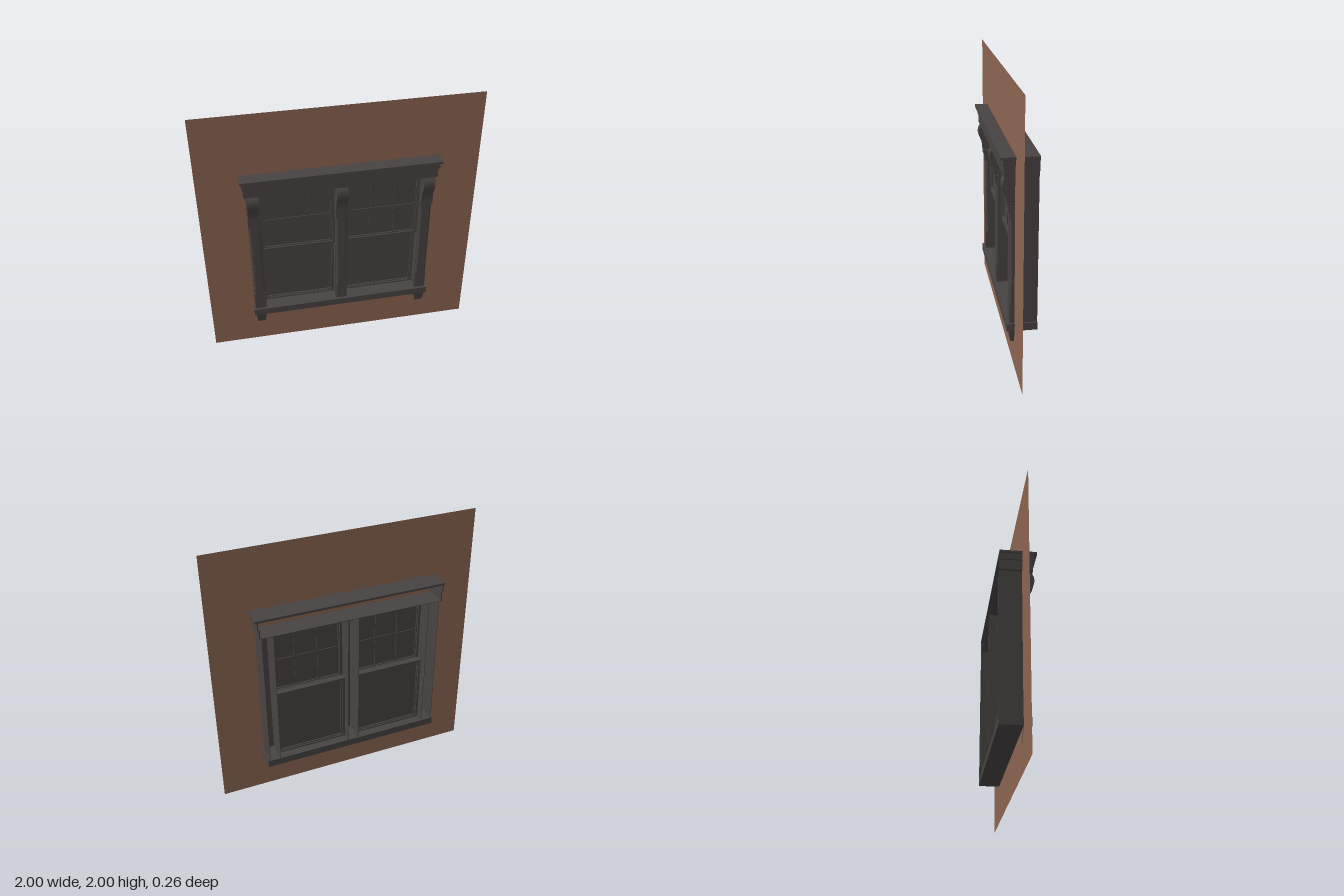
import * as THREE from 'three';

const frameMat = new THREE.MeshStandardMaterial({ color: 0x474342, side: THREE.DoubleSide });
frameMat.name = 'charcoal paint';
const wallMat = new THREE.MeshStandardMaterial({ color: 0x8b6450, side: THREE.DoubleSide });
wallMat.name = 'brown wall';

function add(parent, name, geometry, material = frameMat) {
  const mesh = new THREE.Mesh(geometry, material);
  mesh.name = name;
  parent.add(mesh);
  return mesh;
}

// Box given by its limits on each axis
function box(parent, name, x0, x1, y0, y1, z0, z1) {
  const g = new THREE.BoxGeometry(x1 - x0, y1 - y0, z1 - z0);
  g.translate((x0 + x1) / 2, (y0 + y1) / 2, (z0 + z1) / 2);
  return add(parent, name, g);
}

function group(parent, name, x = 0) {
  const g = new THREE.Group();
  g.name = name;
  g.position.x = x;
  parent.add(g);
  return g;
}

const BACK = -0.127, WALL = 0.03, SILL = 0.345, HEAD = 1.4;

function addWall(root) {
  const s = new THREE.Shape([[-1, 0], [1, 0], [1, 2], [-1, 2]].map(p => new THREE.Vector2(...p)));
  s.holes.push(new THREE.Path([[-0.66, SILL], [-0.66, HEAD], [0.66, HEAD], [0.66, SILL]].map(p => new THREE.Vector2(...p))));
  const g = new THREE.ShapeGeometry(s);
  g.translate(0, 0, WALL);
  add(root, 'wall', g, wallMat);
}

// Hollow cornice: open at the back, with a flat cap
function addCornice(root) {
  const c = group(root, 'cornice');
  const t = 0.004;
  box(c, 'cap', -0.705, 0.705, 1.524, 1.54, BACK, 0.13);
  box(c, 'soffit', -0.68, 0.68, HEAD, HEAD + t, BACK, 0.1);
  for (const [name, x, y0, y1, z] of [['frieze', 0.68, HEAD, 1.475, 0.103], ['crown', 0.69, 1.475, 1.524, 0.112]]) {
    box(c, name + 'Front', -x, x, y0, y1, z - 0.012, z);
    for (const s of [-1, 1]) box(c, name + 'End', s * x - 0.006, s * x + 0.002, y0, y1, BACK, z - 0.002);
  }
}

// Post front cross-section with optional chamfer, extruded upward
function postFront(parent, name, w, y0, y1, c) {
  const s = new THREE.Shape([[-w, -0.03], [w, -0.03], [w, -0.065 + c], [w - c, -0.065], [c - w, -0.065], [-w, -0.065 + c]]
    .map(p => new THREE.Vector2(...p)));
  const g = new THREE.ExtrudeGeometry(s, { depth: y1 - y0, bevelEnabled: false });
  g.rotateX(-Math.PI / 2);
  g.translate(0, y0, 0);
  add(parent, name, g);
}

function addPost(root, x) {
  const p = group(root, 'post', x);
  const w = 0.041;
  // Channel sides running back through the wall
  for (const s of [-1, 1]) box(p, 'postSide', s * w - 0.002, s * w + 0.002, SILL, HEAD, BACK, 0.05);
  postFront(p, 'postBase', w, SILL, 0.49, 0.0005);
  postFront(p, 'postShaft', w, 0.49, 1.11, 0.012);
  postFront(p, 'postNeck', w, 1.11, 1.155, 0.0005);
  box(p, 'postBand', -0.045, 0.045, 1.155, 1.198, WALL, 0.075);
  // Scrolled bracket, drawn from the side
  const s = new THREE.Shape();
  s.moveTo(0.03, 1.198);
  s.lineTo(0.08, 1.198);
  s.bezierCurveTo(0.08, 1.28, 0.114, 1.29, 0.114, 1.335);
  s.bezierCurveTo(0.114, 1.37, 0.1, 1.385, 0.088, HEAD);
  s.lineTo(0.03, HEAD);
  const g = new THREE.ExtrudeGeometry(s, { depth: 2 * w, bevelEnabled: false, curveSegments: 10 });
  g.rotateY(-Math.PI / 2);
  g.translate(w, 0, 0);
  add(p, 'bracket', g);
}

// Rectangular frame with a hole
function ring(parent, name, w, y0, y1, rail, z0, z1) {
  const rect = (a, b, c) => [[-a, b], [a, b], [a, c], [-a, c]].map(p => new THREE.Vector2(...p));
  const s = new THREE.Shape(rect(w, y0, y1));
  s.holes.push(new THREE.Path(rect(w - rail, y0 + rail, y1 - rail).reverse()));
  const g = new THREE.ExtrudeGeometry(s, { depth: z1 - z0, bevelEnabled: false });
  g.translate(0, 0, z0);
  add(parent, name, g);
}

function addSash(root, name, x, y0, y1, z, muntins) {
  const s = group(root, name, x);
  const w = 0.272;
  ring(s, 'sashFrame', w, y0, y1, 0.02, z - 0.022, z + 0.022);
  ring(s, 'glazingBead', w - 0.018, y0 + 0.018, y1 - 0.018, 0.01, z - 0.012, z + 0.012);
  box(s, 'pane', -w + 0.015, w - 0.015, y0 + 0.015, y1 - 0.015, z - 0.002, z + 0.002);
  if (!muntins) return;
  const m = 0.005;
  for (const mx of [-0.087, 0.087]) box(s, 'verticalMuntin', mx - m, mx + m, y0 + 0.02, y1 - 0.02, z - 0.009, z + 0.009);
  box(s, 'horizontalMuntin', -w + 0.02, w - 0.02, 1.125 - m, 1.125 + m, z - 0.008, z + 0.008);
}

// Tapered foot under the sill, flat against the wall
function addFoot(root, x) {
  const g = new THREE.BoxGeometry(0.078, 0.09, 0.04);
  const p = g.attributes.position;
  for (let i = 0; i < p.count; i++) {
    if (p.getY(i) > 0) continue;
    p.setX(i, p.getX(i) * 0.76);
    if (p.getZ(i) > 0) p.setZ(i, 0.006);
  }
  g.computeVertexNormals();
  g.translate(x, 0.245, 0.05);
  add(root, 'sillFoot', g);
}

export function createModel() {
  const root = new THREE.Group();
  root.name = 'doubleWindow';
  addWall(root);
  addCornice(root);
  box(root, 'sill', -0.68, 0.68, 0.29, SILL, BACK, 0.084);
  for (const x of [-0.625, 0, 0.625]) addPost(root, x);
  for (const s of [-1, 1]) {
    addSash(root, 'upperSash', s * 0.3135, 0.862, HEAD, 0.005, true);
    addSash(root, 'lowerSash', s * 0.3135, SILL - 0.008, 0.882, -0.042, false);
    addFoot(root, s * 0.627);
  }
  return root;
}
